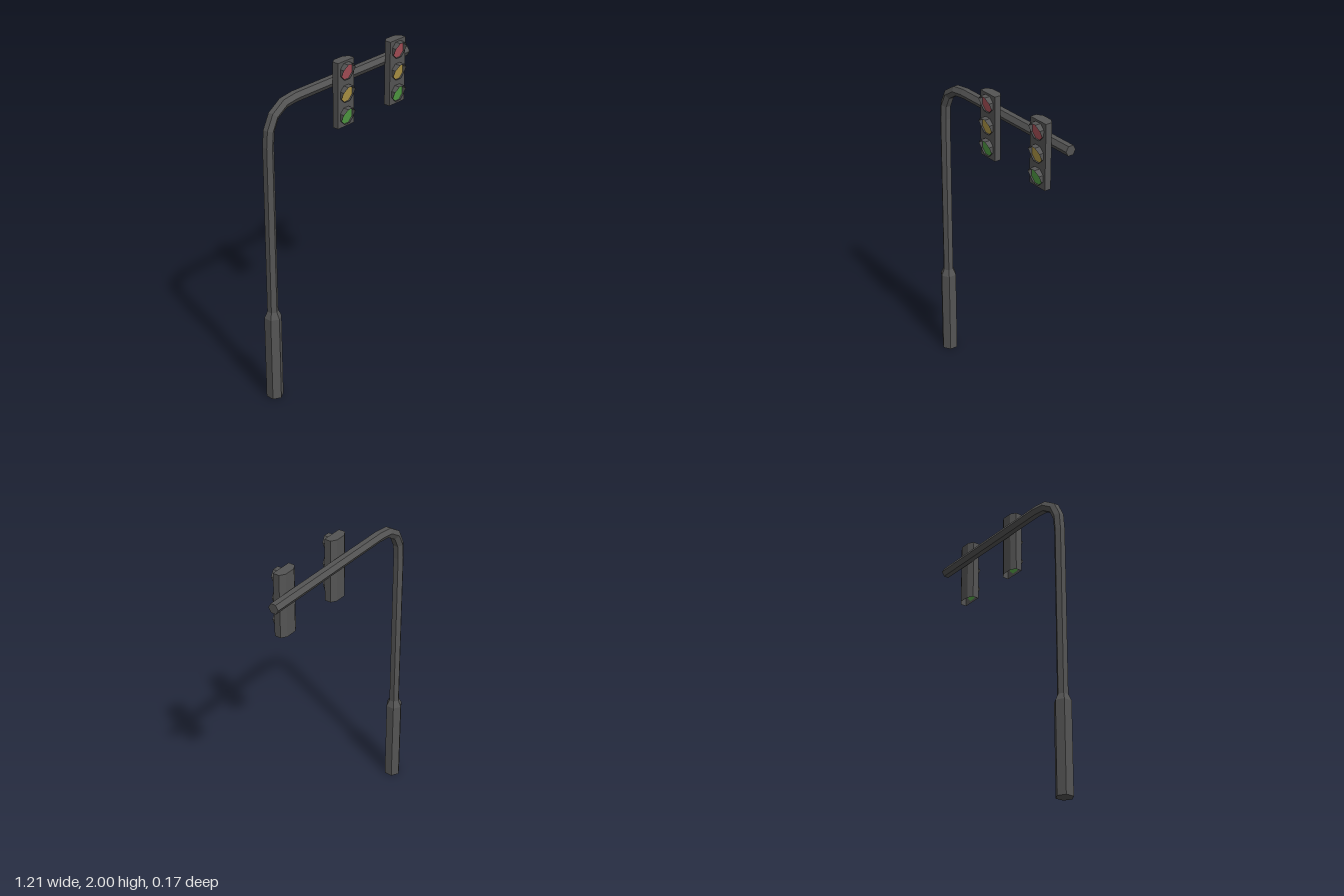
import * as THREE from 'three';

const gray = new THREE.MeshStandardMaterial({ color: 0x545454, side: THREE.DoubleSide });
const red = new THREE.MeshStandardMaterial({ color: 0xa04c54, side: THREE.DoubleSide });
const yellow = new THREE.MeshStandardMaterial({ color: 0xa88f42, side: THREE.DoubleSide });
const green = new THREE.MeshStandardMaterial({ color: 0x4d9440, side: THREE.DoubleSide });
gray.name = 'dark gray metal';
red.name = 'red lens';
yellow.name = 'yellow lens';
green.name = 'green lens';

const POLE_X = -0.561, POLE_Z = -0.035, POLE_R = 0.033;

// Faceted mesh: every face gets its own flat normal
function part(name, geometry, material) {
  const flat = geometry.index ? geometry.toNonIndexed() : geometry;
  flat.computeVertexNormals();
  const mesh = new THREE.Mesh(flat, material);
  mesh.name = name;
  return mesh;
}

// Sweep a hexagon along a path in the xy plane, with a cap at the far end
function sweepHexagon(path, radius) {
  const pos = [], index = [], sides = 6, last = path.length - 1;
  path.forEach((p, i) => {
    const t = path[Math.min(i + 1, last)].clone().sub(path[i]).normalize();
    t.add(path[i].clone().sub(path[Math.max(i - 1, 0)]).normalize()).normalize();
    for (let k = 0; k < sides; k++) {
      const a = k / sides * Math.PI * 2, s = radius * Math.sin(a);
      pos.push(p.x + t.y * s, p.y - t.x * s, POLE_Z + radius * Math.cos(a));
      const n = (k + 1) % sides, r = i * sides;
      if (i < last) index.push(r + k, r + n, r + sides + n, r + k, r + sides + n, r + sides + k);
      else if (k > 0 && k < sides - 1) index.push(r, r + k, r + k + 1);
    }
  });
  const g = new THREE.BufferGeometry();
  g.setAttribute('position', new THREE.Float32BufferAttribute(pos, 3));
  g.setIndex(index);
  return g;
}

// Eight-sided hood, long on top and short below
function hoodGeometry(radius, back) {
  const g = new THREE.CylinderGeometry(radius, radius, 1, 8, 1, true, Math.PI / 8);
  g.rotateX(Math.PI / 2);
  const p = g.attributes.position;
  for (let i = 0; i < p.count; i++) {
    const y = p.getY(i) / radius;
    const depth = y > 0.6 ? 0.037 : y > 0 ? 0.028 : 0.01;
    p.setZ(i, p.getZ(i) > 0 ? back + depth : back);
  }
  return g;
}

function createSignal() {
  const signal = new THREE.Group();
  const bottom = 1.605, top = 2, front = 0.05, lensR = 0.052;
  const lamps = [[1.939, red, 'red'], [1.805, yellow, 'yellow'], [1.671, green, 'green']];

  // Housing wall with a bevelled back, open underneath
  const outline = [[0.0675, front], [0.0675, 0.01], [0.035, -0.011],
    [-0.035, -0.011], [-0.0675, 0.01], [-0.0675, front]];
  const wall = new THREE.PlaneGeometry(1, 1, outline.length - 1, 1);
  const p = wall.attributes.position;
  for (let i = 0; i < p.count; i++) {
    const [x, z] = outline[i % outline.length];
    p.setXYZ(i, x, i < outline.length ? top : bottom, z);
  }
  signal.add(part('housingWall', wall, gray));

  const lid = new THREE.ShapeGeometry(new THREE.Shape(outline.map(([x, z]) => new THREE.Vector2(x, -z))));
  signal.add(part('housingTop', lid.rotateX(-Math.PI / 2).translate(0, top, 0), gray));

  // Front panel with an opening for each lens
  const panel = new THREE.Shape([[-0.0675, bottom], [0.0675, bottom], [0.0675, top], [-0.0675, top]]
    .map(([x, y]) => new THREE.Vector2(x, y)));
  for (const [y] of lamps) {
    const hole = [];
    for (let k = 0; k < 8; k++) {
      const a = (k + 0.5) * Math.PI / 4;
      hole.push(new THREE.Vector2(lensR * Math.cos(a), y + lensR * Math.sin(a)));
    }
    panel.holes.push(new THREE.Path(hole));
  }
  signal.add(part('frontPanel', new THREE.ShapeGeometry(panel).translate(0, 0, front), gray));

  // Lenses and hoods
  for (const [y, material, name] of lamps) {
    const lens = new THREE.CircleGeometry(lensR, 8).rotateZ(Math.PI / 8).translate(0, y, front);
    signal.add(part(name + 'Lens', lens, material));
    signal.add(part(name + 'Hood', hoodGeometry(lensR + 0.001, front).translate(0, y, 0), gray));
  }
  return signal;
}

export function createModel() {
  const model = new THREE.Group();
  model.name = 'trafficLight';

  // Thick hexagonal foot tapering into the pole
  const foot = new THREE.LatheGeometry([[0, 0], [0.052, 0], [0.052, 0.55], [POLE_R, 0.59]]
    .map(([r, y]) => new THREE.Vector2(r, y)), 6);
  model.add(part('poleBase', foot.translate(POLE_X, 0, POLE_Z), gray));

  // Pole bending over into the arm
  const path = [[POLE_X, 0.59], [POLE_X, 1.634], [-0.553, 1.727], [-0.515, 1.804],
    [-0.438, 1.853], [-0.35, 1.864], [0.606, 1.864]].map(([x, y]) => new THREE.Vector2(x, y));
  model.add(part('poleAndArm', sweepHexagon(path, POLE_R), gray));

  // Two signal heads hung on the arm
  [-0.019, 0.431].forEach((x, i) => {
    const signal = createSignal();
    signal.name = i ? 'outerSignal' : 'innerSignal';
    signal.position.x = x;
    model.add(signal);
  });
  return model;
}
